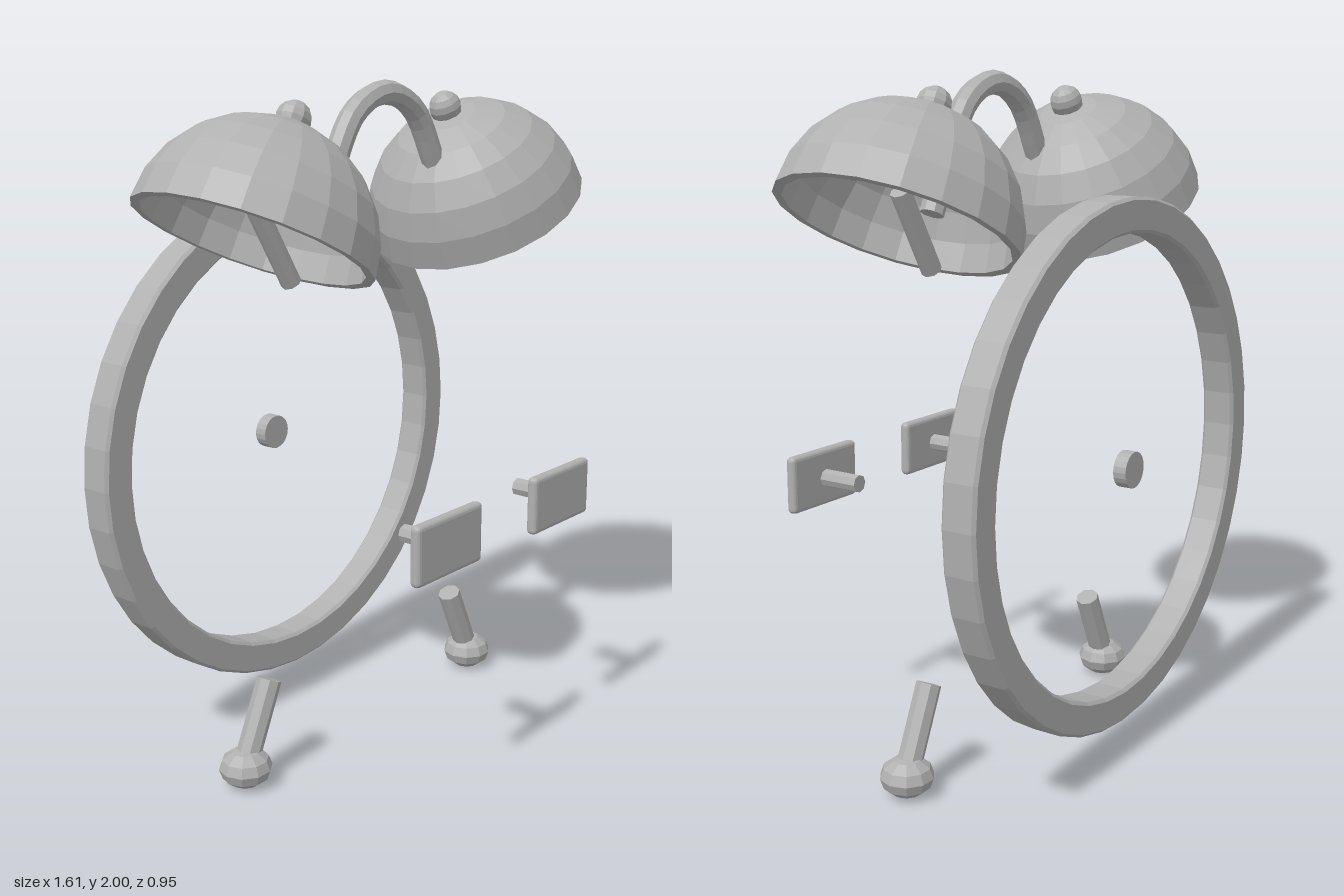
import * as THREE from 'three';
import { RoundedBoxGeometry } from 'three/addons/geometries/RoundedBoxGeometry.js';

const V2 = (x, y) => new THREE.Vector2(x, y);
const V3 = (x, y, z) => new THREE.Vector3(x, y, z);

export function createModel() {
  const model = new THREE.Group();
  const grey = new THREE.MeshStandardMaterial({ color: 0xb0b0b0, flatShading: true });
  grey.name = 'plain grey';

  function add(name, geometry, x = 0, y = 0, z = 0, parent = model) {
    const mesh = new THREE.Mesh(geometry, grey);
    mesh.name = name;
    mesh.position.set(x, y, z);
    parent.add(mesh);
    return mesh;
  }

  // Straight round rod between two points
  function rod(name, a, b, radius, sides = 8) {
    const dir = b.clone().sub(a);
    const mesh = add(name, new THREE.CylinderGeometry(radius, radius, dir.length(), sides));
    mesh.position.copy(a).add(b).multiplyScalar(0.5);
    mesh.quaternion.setFromUnitVectors(V3(0, 1, 0), dir.normalize());
    return mesh;
  }

  // Back ring with softened edges
  const ro = 0.77, ri = 0.67, h = 0.052, c = 0.009;
  const section = [
    V2(ri + c, -h), V2(ro - c, -h), V2(ro, -h + c), V2(ro, h - c),
    V2(ro - c, h), V2(ri + c, h), V2(ri, h - c), V2(ri, -h + c), V2(ri + c, -h),
  ];
  const ringGeometry = new THREE.LatheGeometry(section, 40);
  ringGeometry.rotateX(Math.PI / 2);
  add('backRing', ringGeometry, 0, 0.889, -0.405);

  // Small winding disc in the middle of the back
  const discGeometry = new THREE.CylinderGeometry(0.053, 0.053, 0.04, 20);
  discGeometry.rotateX(Math.PI / 2);
  add('backDisc', discGeometry, 0, 0.889, -0.453);

  // Carrying handle, splayed toward the bells
  const path = new THREE.CatmullRomCurve3([
    V3(-0.3, 1.61, 0.012), V3(-0.222, 1.77, 0.012), V3(-0.13, 1.914, 0.012),
    V3(0, 1.964, 0.012),
    V3(0.13, 1.914, 0.012), V3(0.222, 1.77, 0.012), V3(0.3, 1.61, 0.012),
  ]);
  add('handle', new THREE.TubeGeometry(path, 24, 0.035, 8));
  for (const s of [-1, 1]) {
    const cap = add('handleEnd', new THREE.CircleGeometry(0.035, 8), s * 0.3, 1.61, 0.012);
    cap.quaternion.setFromUnitVectors(V3(0, 0, 1), path.getTangent(s < 0 ? 0 : 1).multiplyScalar(s));
  }

  // Hollow hemispherical bell profile: outside up, inside back down
  const R = 0.341, wall = 0.026, rings = 6;
  const profile = [];
  for (let i = 0; i <= rings; i++) {
    const a = (i / rings) * Math.PI / 2;
    profile.push(V2(R * Math.cos(a), R * Math.sin(a)));
  }
  for (let i = rings; i >= 0; i--) {
    const a = (i / rings) * Math.PI / 2;
    profile.push(V2((R - wall) * Math.cos(a), (R - wall) * Math.sin(a)));
  }
  profile.push(V2(R, 0));
  const bellGeometry = new THREE.LatheGeometry(profile, 20);
  const knobGeometry = new THREE.SphereGeometry(0.05, 10, 8);
  const footGeometry = new THREE.SphereGeometry(0.079, 10, 6);
  footGeometry.scale(1, 0.058 / 0.079, 1);

  for (const s of [-1, 1]) {
    const side = s > 0 ? 'left' : 'right';

    // Bell with its top knob, leaning inward
    const bell = new THREE.Group();
    bell.name = side + 'Bell';
    bell.position.set(s * 0.503, 1.59, -0.026);
    bell.rotation.z = s * 0.485;
    model.add(bell);
    add(side + 'BellDome', bellGeometry, 0, 0, 0, bell);
    add(side + 'BellKnob', knobGeometry, 0, 0.357, 0, bell);

    // Post under the bell
    rod(side + 'BellPost', V3(s * 0.355, 1.462, -0.027), V3(s * 0.49, 1.685, -0.027), 0.029);

    // Leg and foot
    rod(side + 'Leg', V3(s * 0.545, 0.06, -0.064), V3(s * 0.437, 0.298, -0.064), 0.037);
    add(side + 'Foot', footGeometry, s * 0.543, 0.058, -0.064);

    // Front plate on a short stem
    add(side + 'Plate', new RoundedBoxGeometry(0.29, 0.174, 0.034, 2, 0.014), s * 0.275, 0.792, 0.457);
    rod(side + 'PlateStem', V3(s * 0.275, 0.79, 0.31), V3(s * 0.275, 0.79, 0.45), 0.027);
  }
  return model;
}
